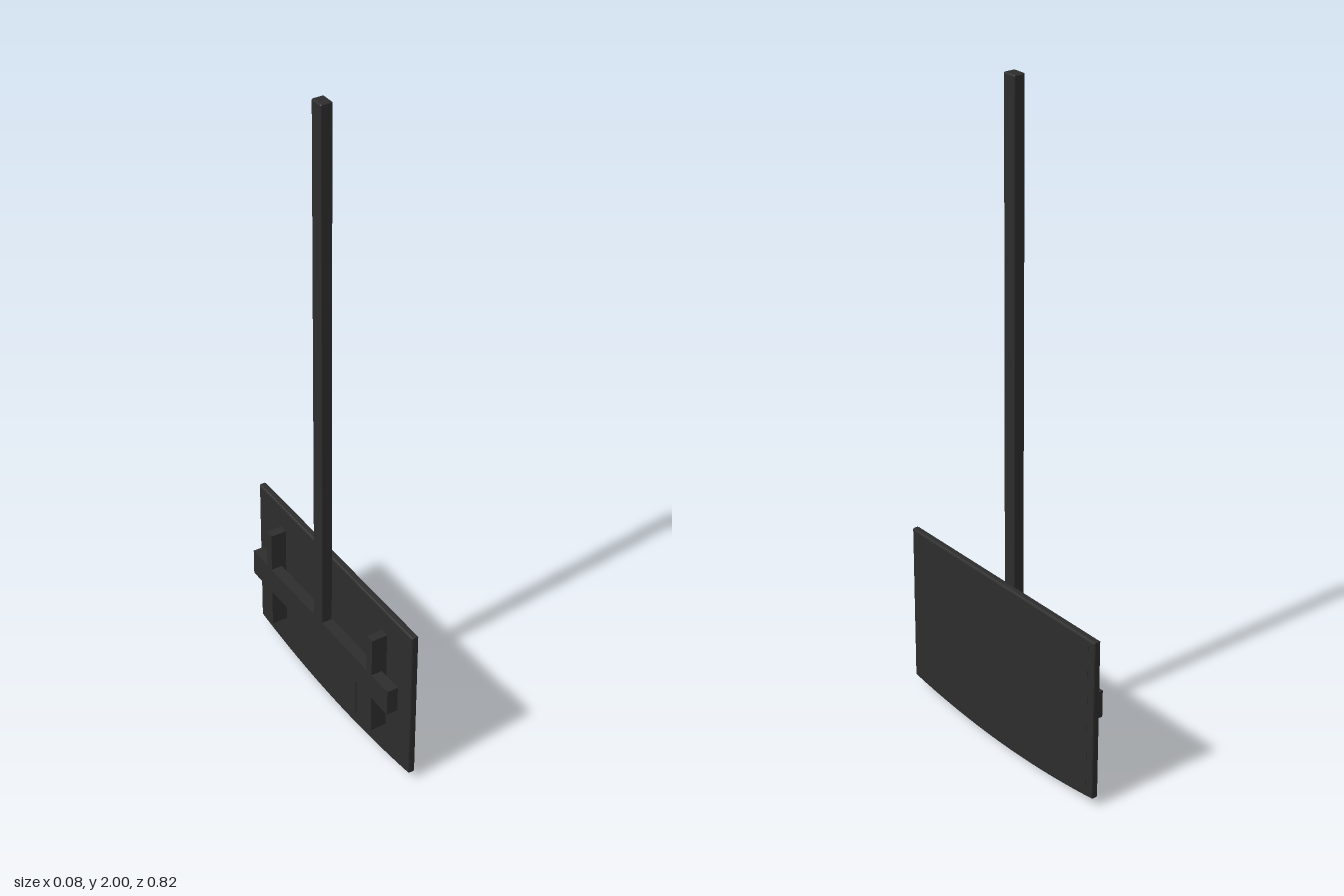
import * as THREE from 'three';
import { RoundedBoxGeometry } from 'three/addons/geometries/RoundedBoxGeometry.js';

export function createModel() {
  const model = new THREE.Group();
  const charcoal = new THREE.MeshStandardMaterial({ color: 0x2d2d2d });
  charcoal.name = 'charcoal';

  function add(name, geometry) {
    const mesh = new THREE.Mesh(geometry, charcoal);
    mesh.name = name;
    model.add(mesh);
    return mesh;
  }
  // box given by its extents on each axis
  function box(name, [x0, x1], [y0, y1], [z0, z1]) {
    const mesh = add(name, new THREE.BoxGeometry(x1 - x0, y1 - y0, z1 - z0));
    mesh.position.set((x0 + x1) / 2, (y0 + y1) / 2, (z0 + z1) / 2);
  }

  // screen casing: outline in z and y with a bowed lower edge, facing +x
  const bevel = 0.005;
  const w = 0.41 - bevel;
  const outline = new THREE.Shape();
  outline.moveTo(-w, 0.03 + bevel);
  outline.quadraticCurveTo(0, -0.03 + bevel, w, 0.03 + bevel);
  outline.lineTo(w, 0.535 - bevel);
  outline.lineTo(-w, 0.535 - bevel);
  outline.closePath();
  const casing = new THREE.ExtrudeGeometry(outline, {
    depth: 0.013, bevelThickness: bevel, bevelSize: bevel, bevelSegments: 2, curveSegments: 16,
  });
  casing.rotateY(Math.PI / 2);
  casing.translate(0.015 + bevel, 0, 0);
  add('screenCasing', casing);

  // display surface and rear cover
  box('display', [0.036, 0.0385], [0.05, 0.515], [-0.385, 0.385]);
  box('rearCover', [0.012, 0.017], [0.045, 0.25], [-0.12, 0.135]);

  // wall-style mount: cross bar with two upright brackets
  box('crossBar', [-0.035, 0], [0.25, 0.335], [-0.365, 0.37]);
  for (const z of [-0.272, 0.275]) {
    box('uprightBracket', [-0.0345, 0.016], [0.125, 0.46], [z - 0.0135, z + 0.0135]);
  }

  // ceiling pole, leaning very slightly
  const bottom = 0.31, length = 2 - bottom;
  const pole = new RoundedBoxGeometry(0.036, length, 0.044, 2, 0.004);
  pole.translate(0, length / 2, 0);
  const p = pole.attributes.position;
  for (let i = 0; i < p.count; i++) {
    const t = p.getY(i) / length;
    p.setX(i, p.getX(i) - 0.004 * t);
    p.setZ(i, p.getZ(i) + 0.006 * t);
  }
  add('ceilingPole', pole).position.set(-0.018, bottom, 0.003);

  return model;
}
